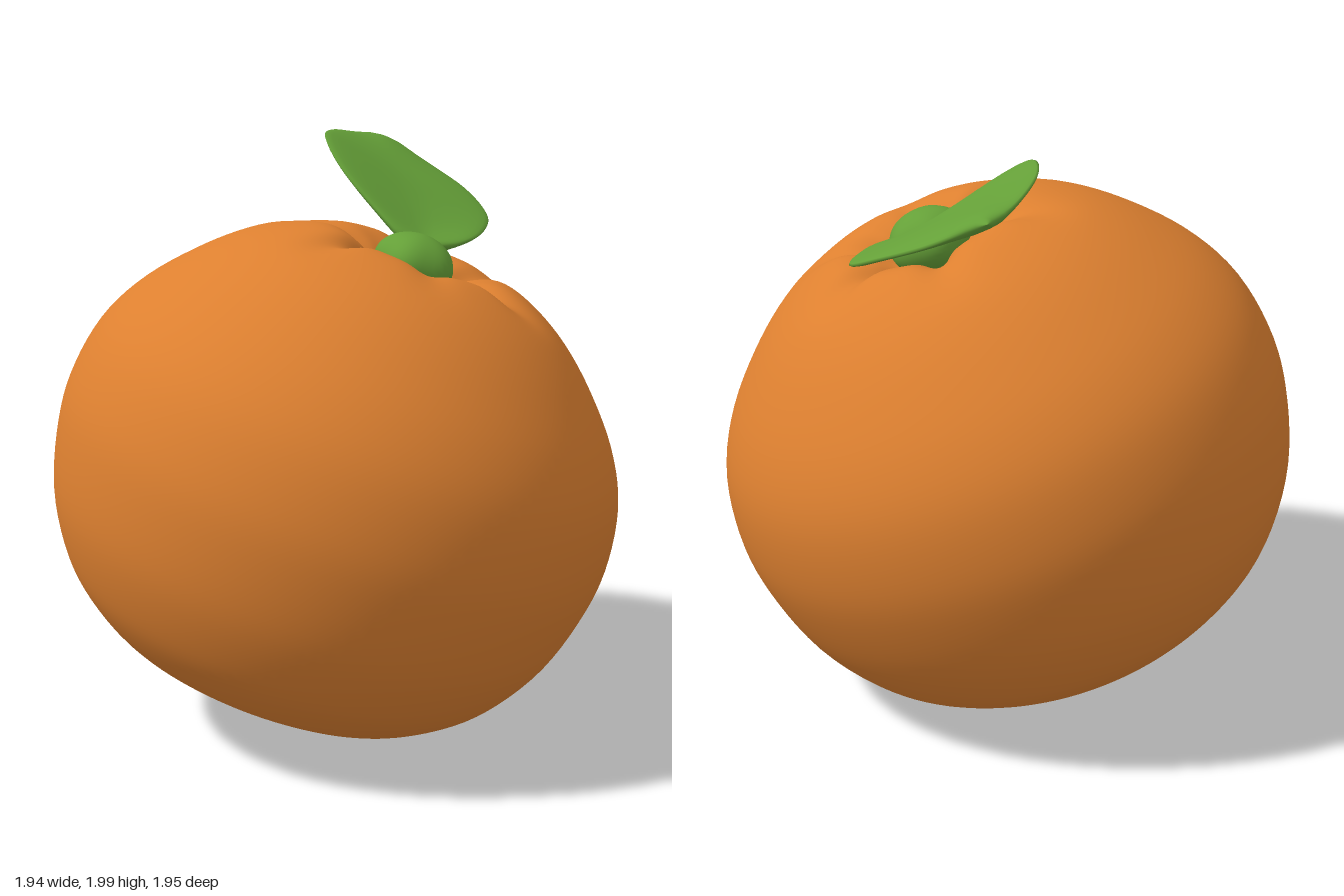
import * as THREE from 'three';
import { mergeVertices } from 'three/addons/utils/BufferGeometryUtils.js';

const mat = (name, color, extra = {}) => {
  const m = new THREE.MeshStandardMaterial({ color, ...extra });
  m.name = name;
  return m;
};
const named = (name, geometry, material) => {
  const mesh = new THREE.Mesh(geometry, material);
  mesh.name = name;
  return mesh;
};

// Drops seams so that displaced surfaces shade smoothly
function smooth(geo) {
  geo.deleteAttribute('uv');
  geo.deleteAttribute('normal');
  const g = mergeVertices(geo, 1e-4);
  g.computeVertexNormals();
  return g;
}

const angleGap = (a, b) => Math.atan2(Math.sin(a - b), Math.cos(a - b));

// Squashed round fruit with puckers round the stem and the navel
function fruitGeometry() {
  const profile = [
    [0, -0.6], [0.12, -0.61], [0.2, -0.645], [0.29, -0.71], [0.42, -0.74], [0.56, -0.715],
    [0.7, -0.625], [0.81, -0.51], [0.91, -0.33], [0.965, -0.12], [0.977, 0.06], [0.94, 0.26],
    [0.85, 0.43], [0.71, 0.59], [0.57, 0.71], [0.43, 0.79], [0.31, 0.825], [0.21, 0.8],
    [0.12, 0.74], [0, 0.7],
  ].map(([r, h]) => new THREE.Vector2(r, h));
  const points = new THREE.SplineCurve(profile).getPoints(90);
  points.forEach((p) => { p.x = Math.max(p.x, 0); });
  points[0].x = points[points.length - 1].x = 0;
  const geo = new THREE.LatheGeometry(points, 144);
  // Groove angle in degrees from +x towards +z, depth, width
  const grooves = [[2, 0.05, 0.2], [62, 0.065, 0.2], [118, 0.025, 0.2],
    [174, 0.06, 0.17], [232, 0.05, 0.22], [300, 0.045, 0.22]];
  const pos = geo.attributes.position;
  const { smoothstep } = THREE.MathUtils;
  for (let i = 0; i < pos.count; i++) {
    const x = pos.getX(i), y = pos.getY(i), z = pos.getZ(i);
    const r = Math.hypot(x, z), angle = Math.atan2(z, x);
    if (y > 0.3) {
      const fade = smoothstep(r, 0.04, 0.16) * (1 - smoothstep(r, 0.18, 0.55));
      let drop = 0;
      for (const [deg, depth, width] of grooves) {
        const d = angleGap(angle, THREE.MathUtils.degToRad(deg)) / width;
        drop += depth * Math.exp(-d * d);
      }
      pos.setY(i, y - drop * fade);
    } else if (y < -0.5) {
      const fade = smoothstep(r, 0.04, 0.2) * (1 - smoothstep(r, 0.22, 0.4));
      pos.setY(i, y + 0.018 * fade * (Math.cos(angle * 5) + 0.6 * Math.cos(angle * 8 + 1)));
    }
  }
  return smooth(geo);
}

// Thick folded leaf: lens-shaped sections between left edge, midrib and right edge
function leafGeometry() {
  const curve = (pts) => new THREE.CatmullRomCurve3(pts.map((p) => new THREE.Vector3(...p)));
  const left = curve([[0.27, 1.62, 0.09], [0.2, 1.75, -0.04], [0.16, 1.88, -0.2], [0.2, 1.965, -0.37],
    [0.32, 1.975, -0.53], [0.49, 1.945, -0.64], [0.61, 1.92, -0.68]]);
  const right = curve([[0.35, 1.62, 0.09], [0.5, 1.635, 0.07], [0.64, 1.65, -0.02], [0.75, 1.68, -0.15],
    [0.78, 1.75, -0.33], [0.735, 1.83, -0.52], [0.66, 1.91, -0.66]]);
  const rib = curve([[0.31, 1.62, 0.08], [0.35, 1.655, 0], [0.4, 1.71, -0.1], [0.45, 1.77, -0.22],
    [0.5, 1.825, -0.36], [0.56, 1.88, -0.52], [0.635, 1.918, -0.68]]);
  const up = new THREE.Vector3(0.28, 0.85, 0.44);
  const rows = 40, sides = 32;
  const verts = [], index = [];
  for (let i = 0; i <= rows; i++) {
    const t = i / rows;
    const L = left.getPoint(t), R = right.getPoint(t), M = rib.getPoint(t);
    const end = Math.min(1, Math.sqrt(Math.min(t, 1 - t) * 14));
    const half = R.clone().sub(L).multiplyScalar(0.5 * end);
    const fold = R.clone().add(L).multiplyScalar(0.5).sub(M).multiplyScalar(end);
    for (let j = 0; j < sides; j++) {
      const a = (j / sides) * Math.PI * 2, s = Math.cos(a);
      const p = M.clone().addScaledVector(half, s)
        .addScaledVector(fold, Math.abs(s) ** 1.5)
        .addScaledVector(up, 0.028 * Math.sin(a) * end);
      verts.push(p.x, p.y, p.z);
      if (i < rows) {
        const k = (j + 1) % sides, b = i * sides, c = b + sides;
        index.push(b + j, c + j, b + k, c + j, c + k, b + k);
      }
    }
  }
  const geo = new THREE.BufferGeometry();
  geo.setAttribute('position', new THREE.Float32BufferAttribute(verts, 3));
  geo.setIndex(index);
  geo.computeVertexNormals();
  return geo;
}

// Rounded stem button with soft lobes
function stemGeometry() {
  const geo = new THREE.SphereGeometry(1, 40, 24);
  const pos = geo.attributes.position;
  for (let i = 0; i < pos.count; i++) {
    const x = pos.getX(i), y = pos.getY(i), z = pos.getZ(i);
    const k = 0.138 * (1 + 0.04 * Math.cos(5 * Math.atan2(z, x)) * Math.hypot(x, z));
    pos.setXYZ(i, x * k, y * 0.105, z * k);
  }
  return smooth(geo);
}

export function createModel() {
  const orange = mat('orange peel', 0xdd8030);
  const green = mat('leaf green', 0x65a038);
  const olive = mat('navel olive', 0x857c26);

  const model = new THREE.Group();
  model.name = 'mandarin';

  // Fruit, stem and navel share one leaning axis
  const fruit = new THREE.Group();
  fruit.name = 'leaningFruit';
  fruit.position.set(0, 0.85, 0);
  fruit.quaternion.setFromUnitVectors(new THREE.Vector3(0, 1, 0),
    new THREE.Vector3(0.3, 0.94, 0.16).normalize());
  fruit.add(named('peel', fruitGeometry(), orange));

  const stem = named('stem', stemGeometry(), green);
  stem.position.y = 0.79;
  fruit.add(stem);

  const navel = named('navel', new THREE.CircleGeometry(0.24, 40), olive);
  navel.rotation.x = Math.PI / 2;
  navel.position.y = -0.655;
  fruit.add(navel);

  model.add(fruit, named('leaf', leafGeometry(), green));
  return model;
}
